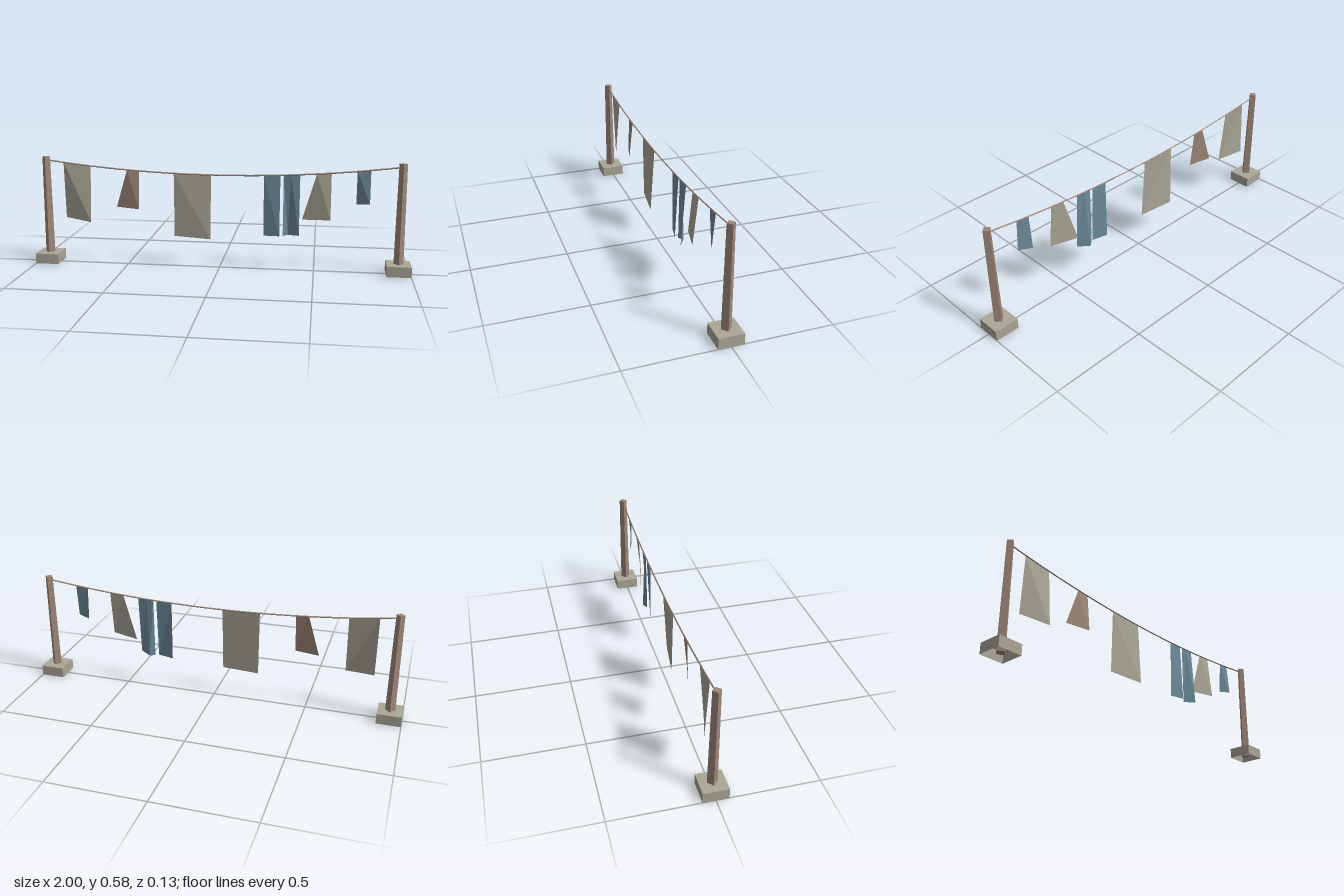
import * as THREE from 'three';

const mat = (name, color, extra = {}) => {
  const m = new THREE.MeshStandardMaterial({ color, flatShading: true, side: THREE.DoubleSide, ...extra });
  m.name = name;
  return m;
};

// Height of the sagging line at a given x
const lineY = (x) => 0.5 + 0.061 * (x / 0.93) ** 2;

// Folded cloth: each column is [topX, bottomX, bottomY, bottomZ], hung from the line
function clothGeometry(columns) {
  const pos = [];
  const index = [];
  for (const [tx, bx, by, bz] of columns) pos.push(tx, lineY(tx), 0, bx, by, bz);
  for (let i = 0; i < columns.length - 1; i++) {
    const a = i * 2;
    index.push(a, a + 1, a + 3, a, a + 3, a + 2);
  }
  const g = new THREE.BufferGeometry();
  g.setAttribute('position', new THREE.Float32BufferAttribute(pos, 3));
  g.setIndex(index);
  g.computeVertexNormals();
  return g;
}

export function createModel() {
  const group = new THREE.Group();
  group.name = 'clothesline';
  const wood = mat('brown', 0x9e887a);
  const beige = mat('beige', 0xaaa697);
  const blue = mat('blue', 0x6d8b9a);

  const add = (name, geometry, material, x = 0, y = 0) => {
    const mesh = new THREE.Mesh(geometry, material);
    mesh.name = name;
    mesh.position.set(x, y, 0);
    group.add(mesh);
  };

  // Foot block, open underneath
  const foot = new THREE.BoxGeometry(0.126, 0.055, 0.126);
  const faces = Array.from(foot.index.array);
  faces.splice(18, 6);
  foot.setIndex(faces);
  foot.clearGroups();

  // Tapered square post, turned corner-on
  const post = new THREE.CylinderGeometry(0.021, 0.026, 0.57, 4);

  for (const [side, x] of [['left', 0.937], ['right', -0.937]]) {
    add(side + 'Foot', foot, beige, x, 0.0275);
    add(side + 'Post', post, wood, x, 0.295);
  }

  // Sagging line
  const points = [];
  for (let i = 0; i <= 12; i++) {
    const x = -0.93 + (1.86 * i) / 12;
    points.push(new THREE.Vector3(x, lineY(x), 0));
  }
  add('line', new THREE.TubeGeometry(new THREE.CatmullRomCurve3(points), 24, 0.004, 4), wood);

  // Hanging laundry
  const laundry = [
    ['towel', beige, [[-0.842, -0.842, 0.246, -0.015], [-0.693, -0.693, 0.232, 0.028]]],
    ['brownCloth', wood, [[-0.495, -0.558, 0.313, -0.01], [-0.43, -0.43, 0.31, 0.022]]],
    ['sheet', beige, [[-0.243, -0.243, 0.163, -0.005], [-0.045, -0.045, 0.158, 0.022]]],
    ['blueLeg', blue, [[0.233, 0.233, 0.182, -0.002], [0.318, 0.318, 0.185, 0.015]]],
    ['foldedBlueLeg', blue, [[0.335, 0.335, 0.185, 0.004], [0.373, 0.361, 0.187, -0.015], [0.42, 0.42, 0.193, 0.022]]],
    ['beigeCloth', beige, [[0.505, 0.433, 0.273, -0.01], [0.58, 0.58, 0.281, 0.025]]],
    ['smallBlueCloth', blue, [[0.71, 0.71, 0.361, -0.012], [0.778, 0.778, 0.369, 0.014]]],
  ];
  for (const [name, material, columns] of laundry) add(name, clothGeometry(columns), material);

  return group;
}
